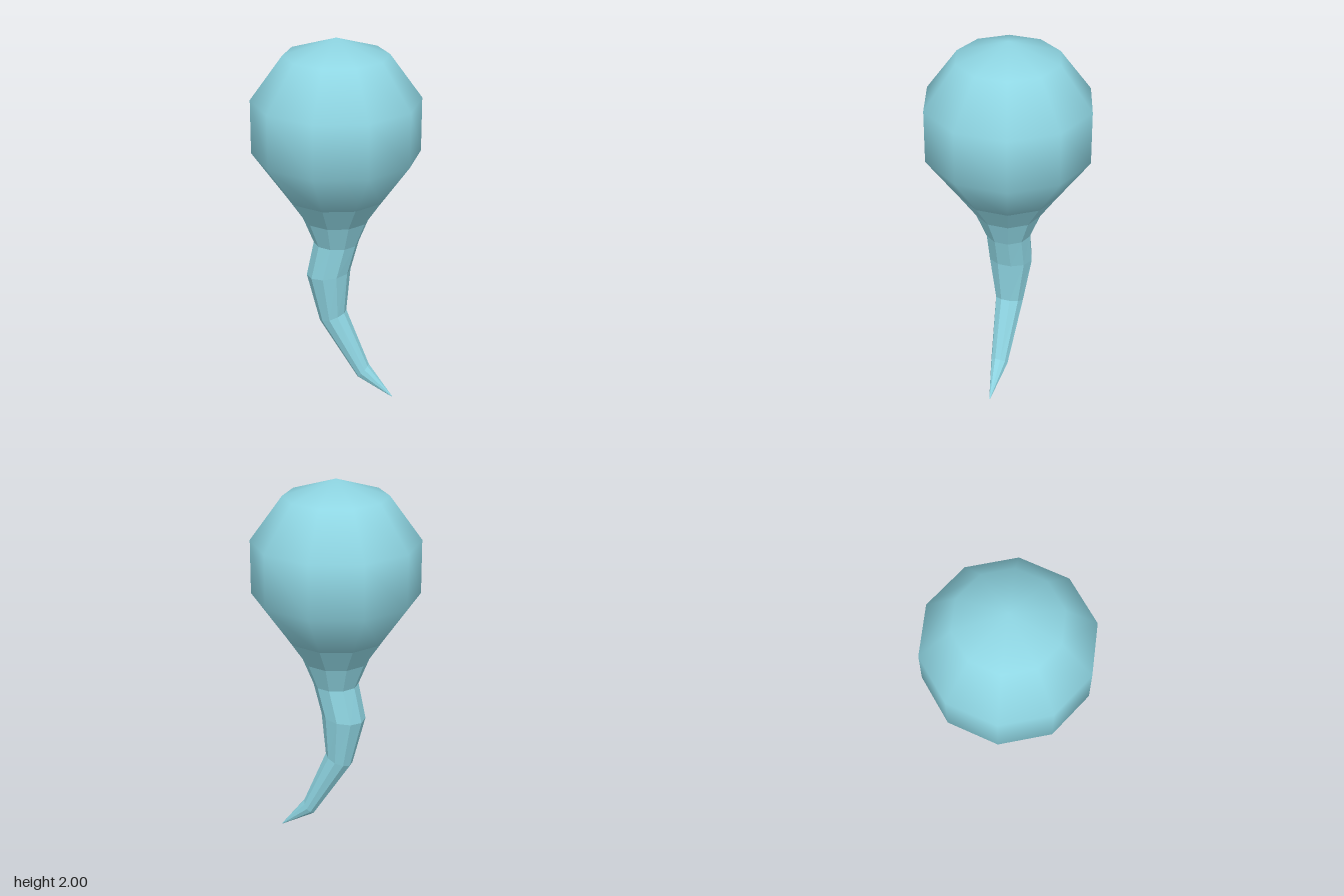
import * as THREE from 'three';

const SIDES = 10;

// Rings of the tail from top to tip: centre x, centre y, radius, half-slope (dx, dy per unit radius)
const TAIL_RINGS = [
  [0, 1.168, 0.27, 1, 0],
  [0, 1.032, 0.175, 1, 0],
  [0, 0.895, 0.119, 1, 0],
  [-0.042, 0.715, 0.118, 0.991, 0.13],
  [-0.018, 0.461, 0.077, 0.926, 0.377],
  [0.153, 0.143, 0.047, 0.61, 0.79],
  [0.315, 0.003, 0.002, 0.61, 0.79],
];

// Lofts ten-sided rings into a closed-tip tube
function createTail() {
  const positions = [];
  const index = [];
  for (const [cx, cy, r, dx, dy] of TAIL_RINGS) {
    for (let j = 0; j < SIDES; j++) {
      const a = (j / SIDES) * Math.PI * 2;
      const s = Math.sin(a) * r;
      positions.push(cx + s * dx, cy + s * dy, Math.cos(a) * r);
    }
  }
  for (let i = 0; i < TAIL_RINGS.length - 1; i++) {
    for (let j = 0; j < SIDES; j++) {
      const k = (j + 1) % SIDES;
      const u0 = i * SIDES + j, u1 = i * SIDES + k;
      const l0 = u0 + SIDES, l1 = u1 + SIDES;
      index.push(l0, l1, u1, l0, u1, u0);
    }
  }
  const geometry = new THREE.BufferGeometry();
  geometry.setAttribute('position', new THREE.Float32BufferAttribute(positions, 3));
  geometry.setIndex(index);
  const flat = geometry.toNonIndexed();
  flat.computeVertexNormals();
  return flat;
}

export function createModel() {
  const group = new THREE.Group();
  group.name = 'tailedDrop';
  const color = 0x8fd6e3;

  // Smooth-shaded low-poly head, open where the tail joins
  const head = new THREE.Mesh(
    new THREE.SphereGeometry(0.46, SIDES, 4, Math.PI / 2, Math.PI * 2, 0, Math.PI * 0.8),
    new THREE.MeshStandardMaterial({ color })
  );
  head.name = 'head';
  head.position.y = 1.54;
  group.add(head);

  // Faceted curling tail
  const tail = new THREE.Mesh(
    createTail(),
    new THREE.MeshStandardMaterial({ color, flatShading: true })
  );
  tail.name = 'tail';
  group.add(tail);

  return group;
}
